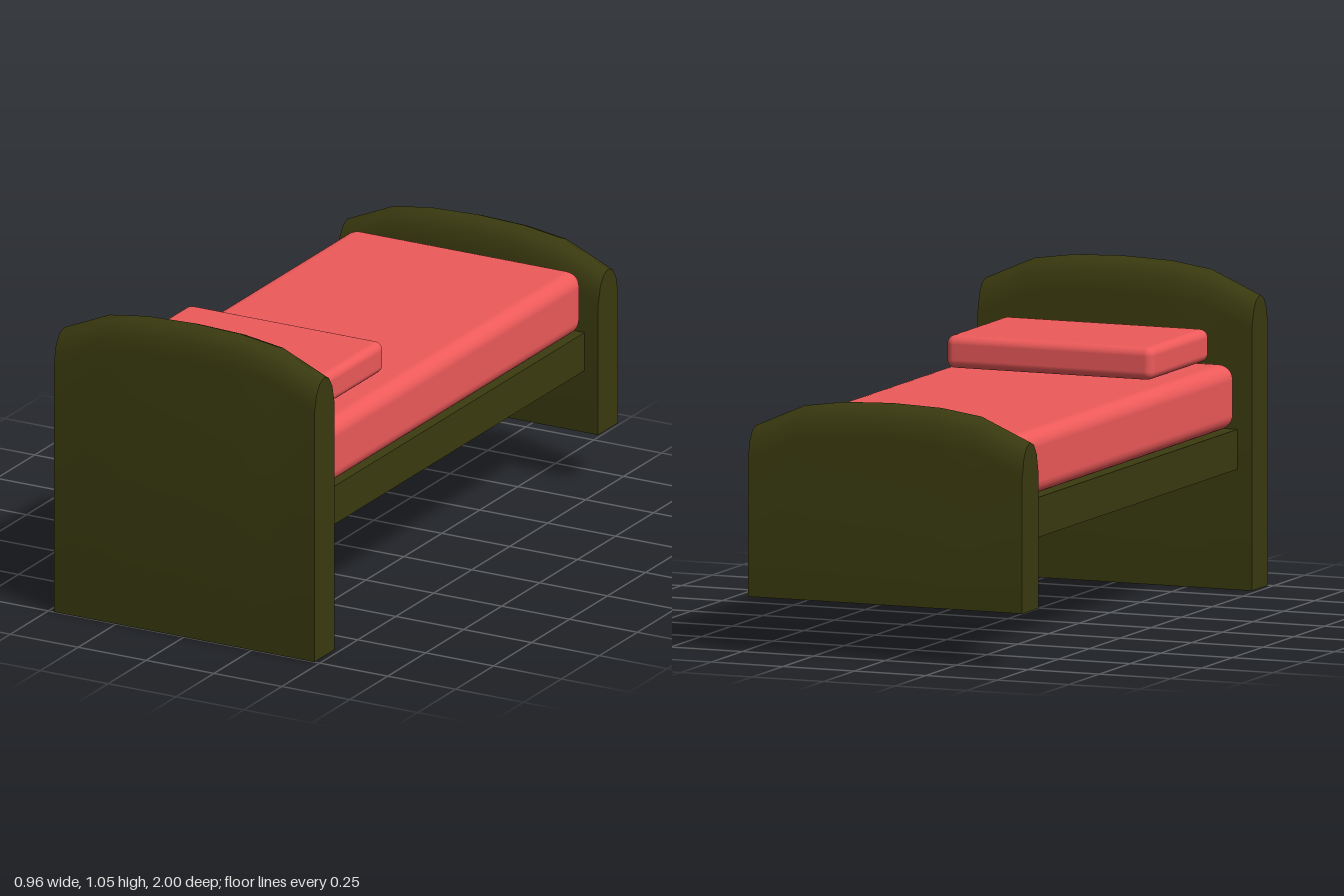
import * as THREE from 'three';
import { RoundedBoxGeometry } from 'three/addons/geometries/RoundedBoxGeometry.js';
import { toCreasedNormals } from 'three/addons/utils/BufferGeometryUtils.js';

const wood = new THREE.MeshStandardMaterial({ color: 0x3a3a10 });
const cloth = new THREE.MeshStandardMaterial({ color: 0xee5a5a });

// Top edge: station positions and the drop from the crown at each, outward from the centre
const archX = [0, 0.17, 0.31, 0.48], archDrop = [0, 0.006, 0.026, 0.1];
const roundZ = [0, 0.03, 0.052, 0.066], roundDrop = [0, 0.012, 0.045, 0.105];

function add(group, name, geometry, material, x, y, z) {
  const mesh = new THREE.Mesh(geometry, material);
  mesh.name = name;
  mesh.position.set(x, y, z);
  group.add(mesh);
}

// End panel with a top that arches across x and rounds over in z
function panelGeometry(bottom, top) {
  const geo = new THREE.BoxGeometry(6, 2, 6, 6, 1, 6);
  const pos = geo.attributes.position;
  for (let i = 0; i < pos.count; i++) {
    const x = pos.getX(i), z = pos.getZ(i);
    const a = Math.round(Math.abs(x)), b = Math.round(Math.abs(z));
    const y = pos.getY(i) > 0 ? top - archDrop[a] - roundDrop[b] : bottom;
    pos.setXYZ(i, Math.sign(x) * archX[a], y, Math.sign(z) * roundZ[b]);
  }
  return toCreasedNormals(geo, 0.75);
}

export function createModel() {
  const bed = new THREE.Group();
  bed.name = 'bed';

  // End panels
  add(bed, 'headboard', panelGeometry(0, 1.053), wood, 0, 0, 0.934);
  add(bed, 'footboard', panelGeometry(0.18, 0.828), wood, 0, 0, -0.934);

  // Base slab between the panels
  add(bed, 'bedBase', new THREE.BoxGeometry(0.86, 0.13, 1.736), wood, 0, 0.457, 0);

  // Bedding
  add(bed, 'mattress', new RoundedBoxGeometry(0.86, 0.212, 1.736, 4, 0.05), cloth, 0, 0.63, 0);
  add(bed, 'pillow', new RoundedBoxGeometry(0.725, 0.107, 0.475, 4, 0.028), cloth, -0.008, 0.804, 0.547);
  return bed;
}
